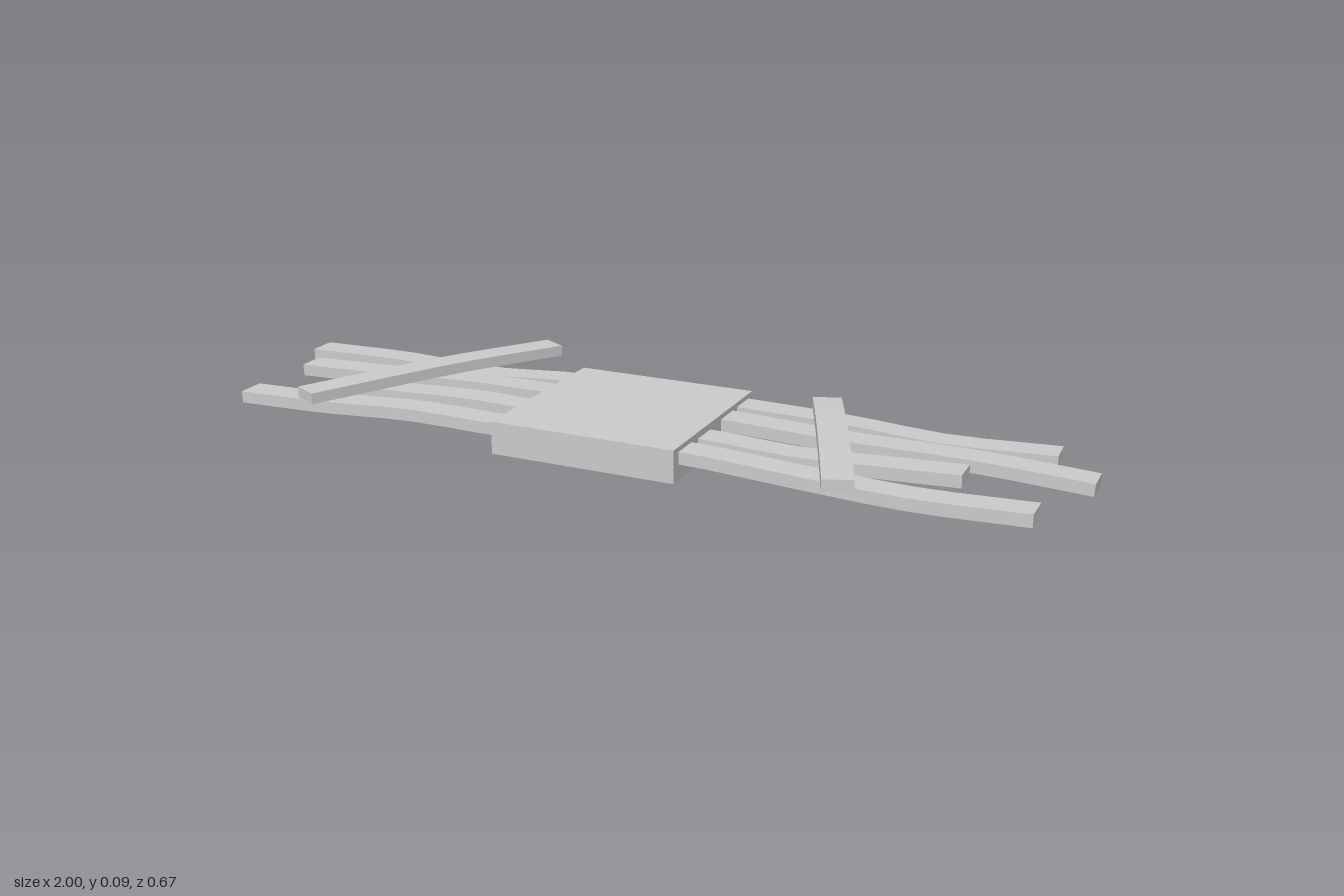
import * as THREE from 'three';

const material = new THREE.MeshStandardMaterial({ color: 0xcccccc });

// A flat plank bent along a smooth curve through [x, y, z] centre points
function plank(name, points, width, thickness) {
  const curve = new THREE.CatmullRomCurve3(points.map(p => new THREE.Vector3(...p)));
  const geometry = new THREE.BoxGeometry(1, thickness, width, 20, 1, 1);
  const pos = geometry.attributes.position;
  const up = new THREE.Vector3(0, 1, 0);
  for (let i = 0; i < pos.count; i++) {
    const t = THREE.MathUtils.clamp(pos.getX(i) + 0.5, 0, 1);
    const tangent = curve.getTangent(t);
    const side = new THREE.Vector3().crossVectors(tangent, up).normalize();
    const normal = new THREE.Vector3().crossVectors(side, tangent);
    const p = curve.getPoint(t)
      .addScaledVector(side, pos.getZ(i))
      .addScaledVector(normal, pos.getY(i));
    pos.setXYZ(i, p.x, p.y, p.z);
  }
  geometry.computeVertexNormals();
  const mesh = new THREE.Mesh(geometry, material);
  mesh.name = name;
  return mesh;
}

export function createModel() {
  const group = new THREE.Group();
  group.name = 'plankBundle';

  // Central block holding the planks
  const block = new THREE.Mesh(new THREE.BoxGeometry(0.44, 0.075, 0.445), material);
  block.name = 'centralBlock';
  block.position.set(-0.042, 0.0375, 0.047);
  group.add(block);

  // Long planks, drooping a little away from the block on both sides
  const long = [
    [[-1, 0.039, -0.125], [-0.75, 0.043, -0.127], [-0.5, 0.035, -0.13], [-0.26, 0.05, -0.13],
      [0.18, 0.05, -0.117], [0.42, 0.043, -0.125], [0.65, 0.028, -0.133], [0.9, 0.035, -0.141]],
    [[-0.953, 0.034, -0.014], [-0.72, 0.04, -0.02], [-0.5, 0.048, -0.03], [-0.26, 0.048, -0.035],
      [0.18, 0.05, -0.022], [0.45, 0.042, -0.021], [0.75, 0.042, -0.02], [1, 0.031, -0.02]],
    [[-0.78, 0.035, 0.09], [-0.6, 0.042, 0.09], [-0.42, 0.05, 0.09], [-0.26, 0.048, 0.092],
      [0.18, 0.046, 0.107], [0.4, 0.038, 0.107], [0.58, 0.045, 0.104], [0.755, 0.052, 0.101]],
    [[-0.957, 0.032, 0.221], [-0.72, 0.038, 0.218], [-0.5, 0.05, 0.214], [-0.26, 0.048, 0.212],
      [0.18, 0.05, 0.21], [0.45, 0.038, 0.213], [0.68, 0.031, 0.216], [0.926, 0.04, 0.218]],
  ];
  long.forEach((points, i) => group.add(plank('longPlank' + (i + 1), points, 0.068, 0.028)));

  // Two slanted planks lying across the long ones
  group.add(plank('rightCrossPlank',
    [[-0.747, 0.074, 0.287], [-0.66, 0.075, 0.12], [-0.56, 0.075, -0.07], [-0.422, 0.067, -0.322]], 0.068, 0.026));
  group.add(plank('leftCrossPlank',
    [[0.358, 0.068, -0.186], [0.42, 0.075, -0.03], [0.49, 0.076, 0.15], [0.553, 0.074, 0.316]], 0.066, 0.027));

  return group;
}
